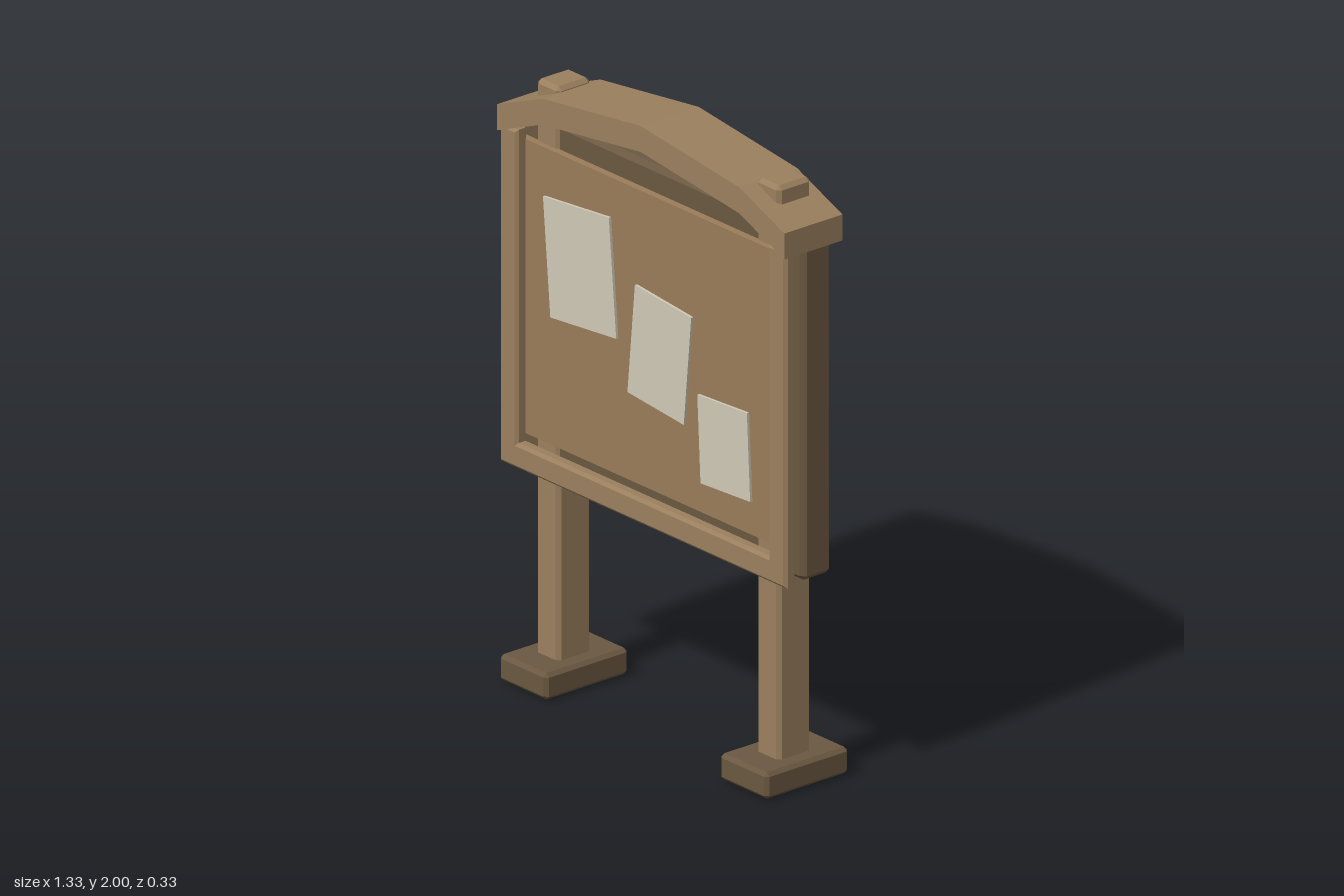
import * as THREE from 'three';
import { ConvexGeometry } from 'three/addons/geometries/ConvexGeometry.js';

const mat = (name, color) => {
  const m = new THREE.MeshStandardMaterial({ color });
  m.name = name;
  return m;
};

// Box given by its min and max corners, with every edge chamfered by b
function chamferBox(min, max, b) {
  const c = min.map((v, i) => (v + max[i]) / 2);
  const h = min.map((v, i) => (max[i] - v) / 2);
  const points = [];
  for (const sx of [-1, 1]) for (const sy of [-1, 1]) for (const sz of [-1, 1]) {
    for (let face = 0; face < 3; face++) {
      const [x, y, z] = [sx, sy, sz].map((s, i) => c[i] + s * (h[i] - (i === face ? 0 : b)));
      points.push(new THREE.Vector3(x, y, z));
    }
  }
  return new ConvexGeometry(points);
}

const outline = (pts) => new THREE.Shape(pts.map(([x, y]) => new THREE.Vector2(x, y)));

export function createModel() {
  const wood = mat('wood', 0x9a7f5e);
  const darkWood = mat('dark wood', 0x6a5841);
  const cork = mat('cork', 0x9a7c59);
  const paper = mat('paper', 0xcfc8b5);

  const model = new THREE.Group();
  model.name = 'noticeBoard';
  const add = (name, geometry, material) => {
    const mesh = new THREE.Mesh(geometry, material);
    mesh.name = name;
    model.add(mesh);
    return mesh;
  };

  // Posts and their feet
  for (const [side, x] of [['left', 0.51], ['right', -0.51]]) {
    add(side + 'Post', chamferBox([x - 0.053, 0, -0.067], [x + 0.053, 1.96, 0.065], 0.013), wood);
    add(side + 'Foot', chamferBox([x - 0.11, 0.004, -0.167], [x + 0.11, 0.09, 0.163], 0.012), darkWood);
  }

  // Backing panel and pin board
  add('backPanel', chamferBox([-0.663, 0.7, -0.063], [0.663, 1.84, 0.055], 0.016), darkWood);
  add('pinBoard', new THREE.BoxGeometry(1.24, 0.96, 0.025).translate(0, 1.28, 0.0725), cork);

  // U-shaped front frame, open under the roof
  const b = 0.01;
  const frameGeometry = new THREE.ExtrudeGeometry(outline([
    [-0.663 + b, 1.79], [-0.663 + b, 0.695 + b], [0.663 - b, 0.695 + b], [0.663 - b, 1.79],
    [0.58 + b, 1.79], [0.58 + b, 0.778 - b], [-0.58 - b, 0.778 - b], [-0.58 - b, 1.79],
  ]), { depth: 0.025, bevelEnabled: true, bevelSize: b, bevelThickness: b, bevelSegments: 1 });
  add('frontFrame', frameGeometry.translate(0, 0, 0.09), wood);

  // Arched roof beam
  const top = [[-0.665, 1.86], [-0.455, 1.945], [0, 2], [0.455, 1.945], [0.665, 1.86]];
  const underside = top.map(([x, y]) => [x, y - 0.085]).reverse();
  const roof = new THREE.ExtrudeGeometry(outline([...top, ...underside]), { depth: 0.23, bevelEnabled: false });
  add('roof', roof.translate(0, 0, -0.1), wood);

  // Pinned sheets: x, y, width, height, turn
  [
    [-0.325, 1.425, 0.306, 0.386, 0.088],
    [0.044, 1.257, 0.262, 0.362, -0.095],
    [0.342, 1.047, 0.23, 0.285, 0.052],
  ].forEach(([x, y, w, h, turn], i) => {
    const sheet = add('sheet' + (i + 1), new THREE.BoxGeometry(w, h, 0.009), paper);
    sheet.position.set(x, y, 0.0895);
    sheet.rotation.z = turn;
  });

  return model;
}
